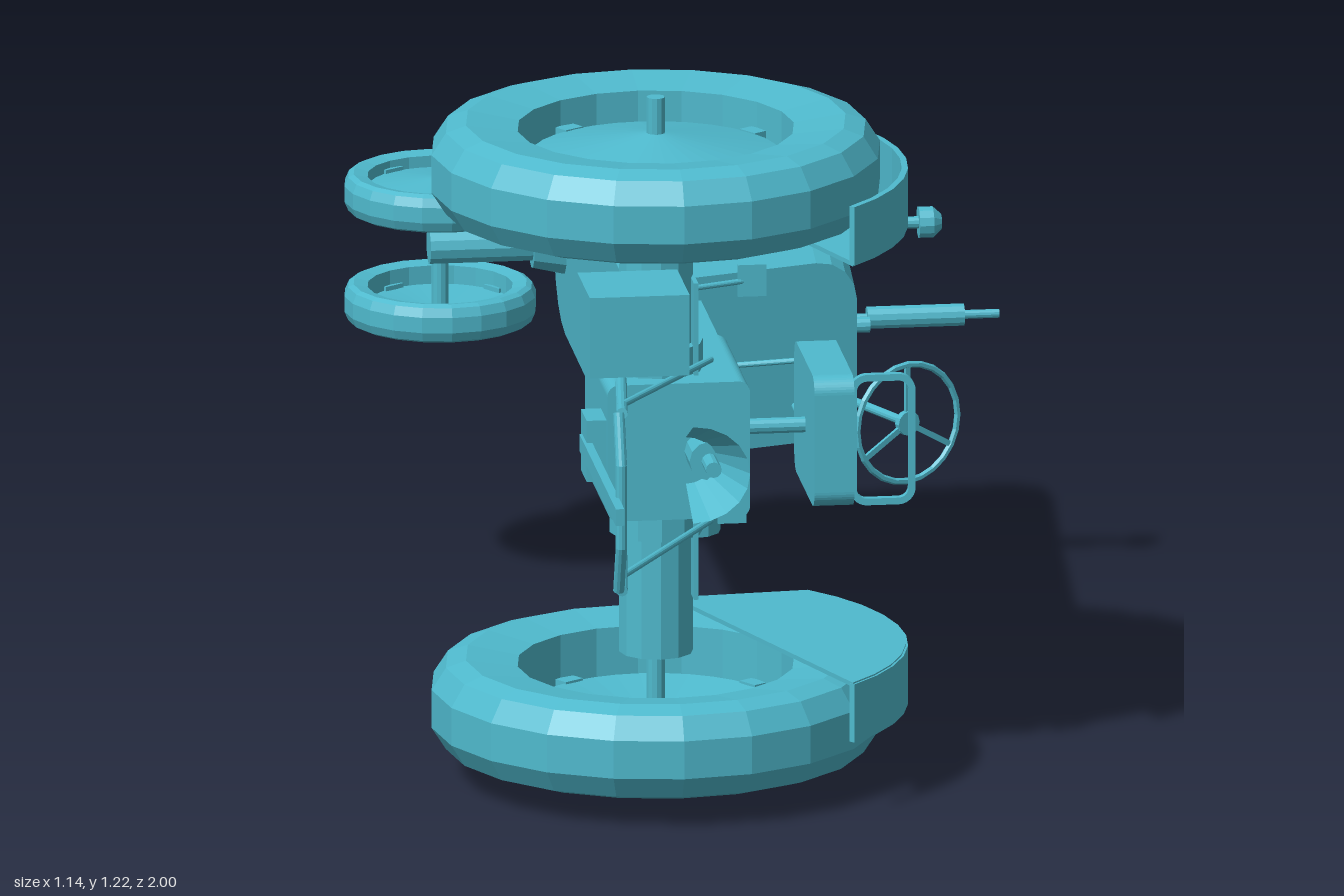
import * as THREE from 'three';

// The tractor lies on its side: its top faces +x, its nose faces -z, its axles run along y.
const MID = 0.612;

export function createModel() {
  const teal = new THREE.MeshStandardMaterial({ color: 0x4fbace, flatShading: true, side: THREE.DoubleSide });
  const model = new THREE.Group();
  const V = (x, y, z) => new THREE.Vector3(x, y, z);

  const add = (name, geo, x = 0, y = 0, z = 0, parent = model) => {
    const m = new THREE.Mesh(geo, teal);
    m.name = name;
    m.position.set(x, y, z);
    parent.add(m);
    return m;
  };
  // box given by its limits on each axis
  const box = (name, x0, x1, y0, y1, z0, z1) =>
    add(name, new THREE.BoxGeometry(x1 - x0, y1 - y0, z1 - z0), (x0 + x1) / 2, (y0 + y1) / 2, (z0 + z1) / 2);
  // round bar between two points
  const bar = (name, a, b, r, r2 = r, sides = 12) => {
    const m = add(name, new THREE.CylinderGeometry(r2, r, a.distanceTo(b), sides));
    m.position.copy(a).lerp(b, 0.5);
    m.quaternion.setFromUnitVectors(V(0, 1, 0), b.clone().sub(a).normalize());
    return m;
  };
  const lathe = (pts, sides) => new THREE.LatheGeometry(pts.map(p => new THREE.Vector2(p[0], p[1])), sides);
  // rounded rectangle slab; outline in x,y and thickness along z
  const slab = (w, h, d, r, hole = 0) => {
    const rect = (S, w, h, r) => {
      const s = new S();
      [[1, 1, 0], [-1, 1, 1], [-1, -1, 2], [1, -1, 3]].forEach(([sx, sy, q]) =>
        s.absarc(sx * (w / 2 - r), sy * (h / 2 - r), r, q * Math.PI / 2, (q + 1) * Math.PI / 2));
      s.closePath();
      return s;
    };
    const s = rect(THREE.Shape, w, h, r);
    if (hole) s.holes.push(rect(THREE.Path, w - 2 * hole, h - 2 * hole, r * 0.6));
    return new THREE.ExtrudeGeometry(s, { depth: d, bevelEnabled: false, curveSegments: 5 }).translate(0, 0, -d / 2);
  };

  // Wheels: tyre ring plus a dish that bulges outward at the hub (side = +1 when outward is +y)
  const wheel = (name, x, y, z, r, w, inner, dish, side) => {
    const g = new THREE.Group();
    g.name = name;
    g.position.set(x, y, z);
    g.scale.y = side;
    model.add(g);
    const k = (r - inner) / 0.15;
    add('tyre', lathe([[inner, -w * 0.42], [r - 0.06 * k, -w / 2], [r - 0.025 * k, -w * 0.43], [r, -w * 0.2],
      [r, w * 0.2], [r - 0.025 * k, w * 0.43], [r - 0.06 * k, w / 2], [inner, w * 0.42], [inner, -w * 0.42]], 20), 0, 0, 0, g);
    add('dish', lathe([[0, w * 0.38], [dish, w * 0.13], [dish, w * 0.05], [0, w * 0.3]], 32), 0, 0, 0, g);
    for (let i = 0; i < 4; i++) {
      const a = i * Math.PI / 2 + 0.6, m = (dish + inner) / 2;
      const lug = add('rimLug', new THREE.BoxGeometry(inner - dish + 0.012, 0.02, 0.04), Math.cos(a) * m, w * 0.09, -Math.sin(a) * m, g);
      lug.rotation.y = a;
    }
  };
  for (const s of [-1, 1]) {
    wheel('rearWheel', -0.18, MID + s * 0.482, 0.45, 0.393, 0.17, 0.242, 0.219, s);
    wheel('frontWheel', -0.395, MID + s * 0.099, -0.83, 0.168, 0.069, 0.127, 0.125, s);
  }
  bar('rearAxle', V(-0.18, 0, 0.45), V(-0.18, 1.22, 0.45), 0.016);
  bar('frontAxle', V(-0.395, 0.46, -0.83), V(-0.395, 0.765, -0.83), 0.015);
  bar('frontColumn', V(-0.415, MID, -0.83), V(-0.22, MID, -0.83), 0.032);
  bar('frontColumnCollar', V(-0.235, MID, -0.83), V(-0.17, MID, -0.83), 0.045, 0.06);

  // Rear axle housings with end flanges
  for (const s of [-1, 1]) {
    const Y = d => MID + s * d;
    bar('axleHousing', V(-0.18, Y(0.1), 0.455), V(-0.18, Y(0.388), 0.455), 0.065);
    bar('housingFlange', V(-0.18, Y(0.12), 0.455), V(-0.18, Y(0.172), 0.455), 0.082);
  }
  box('footPlatform', -0.122, -0.114, 0.33, 0.9, 0.18, 0.52);

  // Gearbox and rear casing
  add('rearCasing', slab(0.25, 0.245, 0.31, 0.02), -0.155, MID, 0.415);
  box('gearbox', -0.17, -0.045, 0.497, 0.73, -0.03, 0.3);
  box('gearboxCover', -0.05, -0.005, 0.57, 0.66, 0.03, 0.1);

  // Hood: cross-sections lofted from the sloped rear to the rounded nose
  const rings = [[0, 0.16, 0.24], [0.5, 0.16, 0.27], [0.85, 0.158, 0.296], [0.905, 0.149, 0.298],
    [0.945, 0.13, 0.292], [0.977, 0.1, 0.276], [1, 0.06, 0.25]];
  const section = (w, top) => {
    const r = Math.min(0.075, w * 0.6), pts = [[-0.18, w]];
    for (let i = 0; i <= 4; i++) {
      const a = i * Math.PI / 8;
      pts.push([top - r + r * Math.sin(a), w - r + r * Math.cos(a)]);
    }
    return pts.concat(pts.slice().reverse().map(p => [p[0], -p[1]]));
  };
  const pos = [], idx = [];
  rings.forEach(([t, w, top]) => section(w, top).forEach(([x, y]) => {
    const h = x + 0.18;
    pos.push(x, MID + y, THREE.MathUtils.lerp(0.055 - 0.31 * h, -0.948 - 0.085 * h, t));
  }));
  const n = 12, last = (rings.length - 1) * n;
  for (let i = 0; i < rings.length - 1; i++) for (let j = 0; j < n; j++) {
    const a = i * n + j, b = i * n + (j + 1) % n;
    idx.push(a, a + n, b, b, a + n, b + n);
  }
  for (let j = 1; j < n - 1; j++) idx.push(0, j, j + 1, last, last + j + 1, last + j);
  const hood = new THREE.BufferGeometry();
  hood.setAttribute('position', new THREE.Float32BufferAttribute(pos, 3));
  hood.setIndex(idx);
  hood.computeVertexNormals();
  add('hood', hood);

  // Curved side panels on the hood (shape y is -z)
  const panel = new THREE.Shape();
  panel.moveTo(-0.09, 0.83);
  panel.lineTo(0.04, 0.83);
  panel.quadraticCurveTo(0.13, 0.8, 0.13, 0.68);
  panel.lineTo(0.13, 0.48);
  panel.quadraticCurveTo(0.12, 0.27, -0.09, 0.22);
  panel.closePath();
  for (const s of [-1, 1]) {
    const p = add('sidePanel', new THREE.ExtrudeGeometry(panel, { depth: 0.006, bevelEnabled: false }), 0, MID + s * 0.161 - 0.003, 0);
    p.rotation.x = -Math.PI / 2;
  }
  // Hood caps along the top
  for (const [x, z] of [[0.29, -0.795], [0.255, -0.22]]) bar('hoodCap', V(x, MID, z), V(x + 0.025, MID, z), 0.014);

  // Exhaust and air intake
  bar('exhaustPipe', V(0.27, 0.495, -0.69), V(0.567, 0.495, -0.69), 0.008);
  bar('muffler', V(0.335, 0.495, -0.69), V(0.505, 0.495, -0.69), 0.02);
  bar('intakePipe', V(0.27, 0.697, -0.57), V(0.43, 0.697, -0.57), 0.011);
  bar('intakeCap', V(0.41, 0.697, -0.57), V(0.435, 0.697, -0.57), 0.028);
  bar('intakeCapTop', V(0.435, 0.697, -0.57), V(0.45, 0.697, -0.57), 0.028, 0.014);

  // Fenders: curved cover over the tread and an inner side plate (shape y is -z)
  const arc = (s, r, a0, a1, cw) => s.absarc(-0.18, -0.45, r, a0, a1, cw);
  const cover = new THREE.Shape();
  arc(cover, 0.439, -0.79, 0.79, false);
  arc(cover, 0.428, 0.79, -0.79, true);
  cover.closePath();
  const plate = new THREE.Shape();
  plate.moveTo(-0.11, -0.76);
  arc(plate, 0.435, -0.79, 0.79, false);
  plate.lineTo(-0.11, -0.16);
  plate.closePath();
  for (const s of [-1, 1]) {
    const c = add('fenderCover', new THREE.ExtrudeGeometry(cover, { depth: 0.105, bevelEnabled: false, curveSegments: 5 }), 0, MID + s * 0.43 - 0.0525, 0);
    const p = add('fenderSide', new THREE.ExtrudeGeometry(plate, { depth: 0.008, bevelEnabled: false, curveSegments: 5 }), 0, MID + s * 0.379 - 0.004, 0);
    c.rotation.x = p.rotation.x = -Math.PI / 2;
  }

  // Seat cushion, back frame and post
  const cushion = add('seat', slab(0.28, 0.235, 0.07, 0.03), 0.12, MID, 0.415);
  cushion.rotation.y = Math.PI / 2;
  bar('seatPost', V(-0.04, MID, 0.42), V(0.09, MID, 0.42), 0.014);
  add('seatBackFrame', slab(0.115, 0.235, 0.014, 0.03, 0.012), 0.207, MID, 0.53);

  // Steering wheel on its sloped column
  const wheelGroup = new THREE.Group();
  wheelGroup.name = 'steeringWheel';
  wheelGroup.position.set(0.299, 0.535, 0.152);
  wheelGroup.quaternion.setFromUnitVectors(V(0, 0, 1), V(0.45, 0, 0.89).normalize());
  model.add(wheelGroup);
  add('steeringRim', new THREE.TorusGeometry(0.105, 0.006, 6, 24), 0, 0, 0, wheelGroup);
  add('steeringHub', new THREE.CylinderGeometry(0.022, 0.022, 0.012, 12).rotateX(Math.PI / 2), 0, 0, 0, wheelGroup);
  for (let i = 0; i < 3; i++) {
    const a = Math.PI / 2 + i * Math.PI * 2 / 3;
    const sp = add('steeringSpoke', new THREE.BoxGeometry(0.106, 0.01, 0.006), Math.cos(a) * 0.053, Math.sin(a) * 0.053, 0, wheelGroup);
    sp.rotation.z = a;
  }
  bar('steeringColumn', V(0.19, 0.535, -0.07), V(0.299, 0.535, 0.152), 0.008);

  // Levers, pedals and belt pulley
  bar('gearLever', V(-0.01, 0.62, 0.05), V(0.155, 0.65, 0.13), 0.005);
  add('gearKnob', new THREE.SphereGeometry(0.01, 8, 6), 0.155, 0.65, 0.13);
  bar('throttleLever', V(0.125, 0.52, -0.05), V(0.125, 0.52, 0.02), 0.005);
  [[-0.005, 0.385], [-0.005, 0.455], [0.03, 0.793]].forEach(([x, y]) => {
    const s = Math.sign(y - MID);
    box('pedal', x - 0.025, x + 0.025, y - 0.027, y + 0.03, 0.12, 0.13);
    bar('pedalArm', V(x - 0.015, y, 0.125), V(-0.1, y, 0.17), 0.005);
    bar('pedalShaft', V(-0.1, y, 0.17), V(-0.1, MID + s * 0.11, 0.17), 0.006);
  });
  bar('pulleyShaft', V(-0.075, 0.4, 0.09), V(-0.075, 0.52, 0.09), 0.025);
  bar('beltPulley', V(-0.075, 0.338, 0.092), V(-0.075, 0.398, 0.092), 0.054);

  // Tool box, power take-off shield, hitch links and drawbar
  box('toolBox', -0.33, -0.155, 0.79, 0.935, 0.55, 0.72);
  bar('toolBoxBracket', V(-0.18, 0.86, 0.5), V(-0.18, 0.86, 0.56), 0.012);
  bar('powerShaft', V(-0.11, MID, 0.56), V(-0.11, MID, 0.7), 0.014);
  bar('powerHousing', V(-0.11, MID, 0.56), V(-0.11, MID, 0.64), 0.035);
  const shield = add('powerShield', new THREE.CylinderGeometry(0.087, 0.042, 0.1, 10, 1, true, 0, Math.PI), -0.15, MID, 0.68);
  shield.rotation.x = Math.PI / 2;
  shield.scale.x = 1.15;
  for (const s of [-1, 1]) {
    const Y = d => MID + s * d;
    bar('lowerLink', V(-0.25, Y(0.12), 0.52), V(-0.295, Y(0.16), 0.89), 0.01);
    bar('liftRod', V(-0.09, Y(0.145), 0.5), V(-0.29, Y(0.155), 0.82), 0.006);
    bar('linkEnd', V(-0.3, Y(0.16), 0.885), V(-0.3, Y(0.07), 0.92), 0.01);
  }
  bar('hitchBar', V(-0.3, MID - 0.075, 0.92), V(-0.3, MID + 0.075, 0.92), 0.01);
  box('drawbar', -0.32, -0.305, 0.6, 0.63, 0.5, 1);
  box('drawbarMount', -0.315, -0.27, 0.56, 0.67, 0.48, 0.56);
  return model;
}
